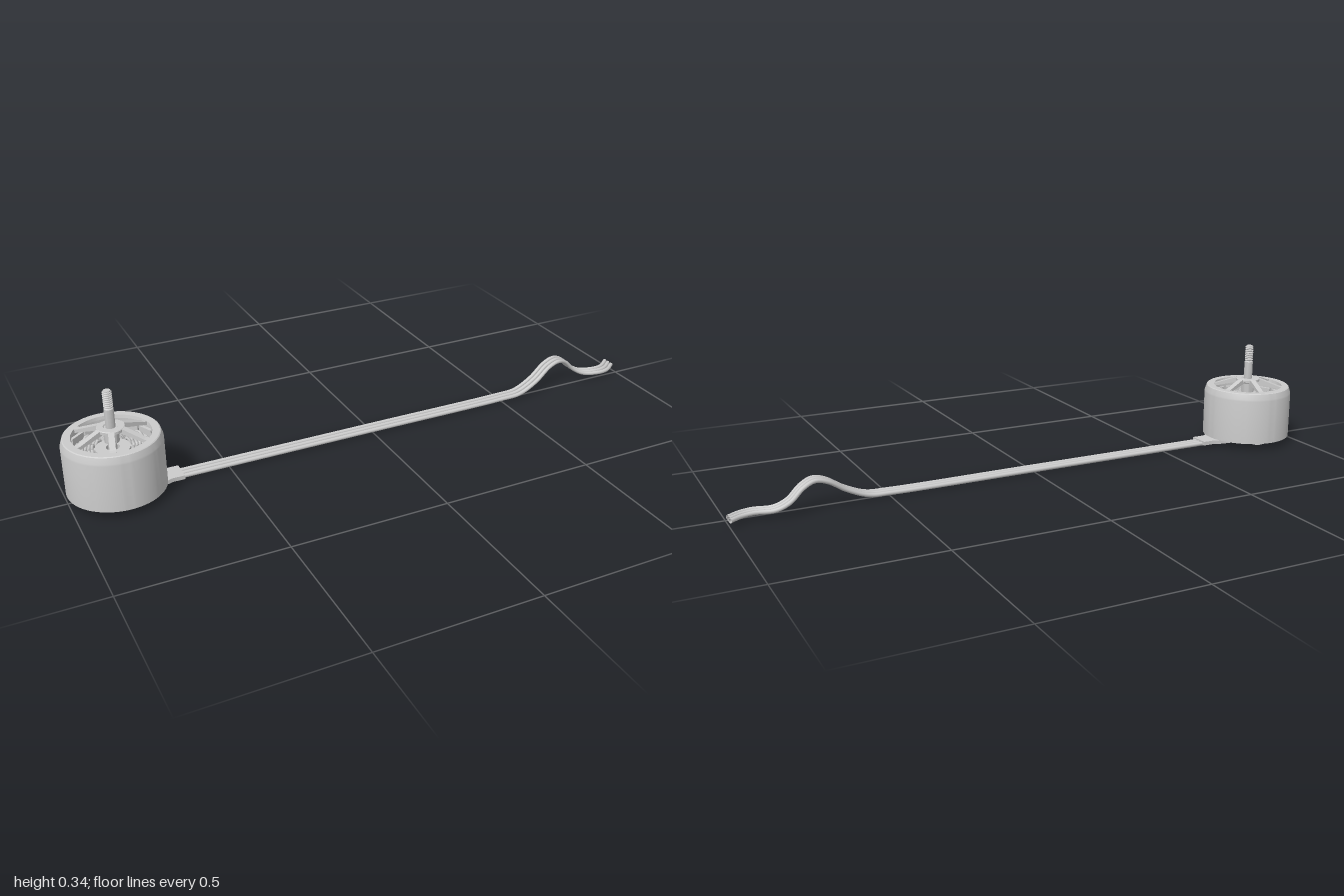
import * as THREE from 'three';
import { toCreasedNormals } from 'three/addons/utils/BufferGeometryUtils.js';

const grey = new THREE.MeshStandardMaterial({ color: 0xcccccc });
const greyDouble = new THREE.MeshStandardMaterial({ color: 0xcccccc, side: THREE.DoubleSide });

function add(parent, name, geometry, material = grey) {
  const mesh = new THREE.Mesh(geometry, material);
  mesh.name = name;
  parent.add(mesh);
  return mesh;
}

// Turned part from [radius, height] pairs, kept sharp at the edges
function turned(points, segments = 64) {
  const g = new THREE.LatheGeometry(points.map(([r, y]) => new THREE.Vector2(r, y)), segments);
  return toCreasedNormals(g, 0.5);
}

// Flat plate drawn in (x, z) and raised from y0 to y1
function plate(shape, y0, y1) {
  const g = new THREE.ExtrudeGeometry(shape, { depth: y1 - y0, bevelEnabled: false, curveSegments: 16 });
  g.rotateX(-Math.PI / 2);
  g.translate(0, y0, 0);
  return toCreasedNormals(g, 0.5);
}

function hole(x, y, r) {
  return new THREE.Path().absarc(x, y, r, 0, Math.PI * 2, true);
}

function radial(parent, name, geometry, count, offset = 0) {
  for (let i = 0; i < count; i++) {
    add(parent, name, geometry).rotation.y = offset + (i * Math.PI * 2) / count;
  }
}

function buildRotor() {
  const rotor = new THREE.Group();
  rotor.name = 'rotor';

  // Outer bell with sloping shoulder and open top
  add(rotor, 'bell', turned([
    [0.137, 0.023], [0.15, 0.023], [0.15, 0.174], [0.149, 0.18], [0.143, 0.198],
    [0.14, 0.2], [0.118, 0.2], [0.116, 0.19], [0.137, 0.182], [0.137, 0.023]], 96));

  // Magnets lining the bell
  const magnet = new THREE.BoxGeometry(0.01, 0.125, 0.05);
  magnet.translate(0.131, 0.1, 0);
  radial(rotor, 'magnet', magnet, 14);

  // Sloping spokes from hub to rim
  const side = new THREE.Shape([[0.025, 0.212], [0.118, 0.188], [0.124, 0.199], [0.108, 0.201], [0.042, 0.224], [0.025, 0.224]]
    .map(([x, y]) => new THREE.Vector2(x, y)));
  const spoke = new THREE.ExtrudeGeometry(side, { depth: 0.018, bevelEnabled: false });
  spoke.translate(0, 0, -0.009);
  radial(rotor, 'spoke', spoke, 6, 0.3);

  add(rotor, 'hub', turned([
    [0, 0.175], [0.022, 0.175], [0.024, 0.208], [0.042, 0.215], [0.042, 0.223],
    [0.04, 0.225], [0.022, 0.225], [0.02, 0.222], [0, 0.222]]));

  // Shaft with ridged upper end
  const profile = [[0, 0.002], [0.013, 0.002], [0.013, 0.2], [0.0145, 0.21], [0.0145, 0.283], [0.0115, 0.286]];
  const ridges = 8, pitch = 0.0065;
  for (let i = 0; i < ridges; i++) {
    const y = 0.287 + i * pitch;
    profile.push([0.0115, y], [0.0142, y + 0.0018], [0.0142, y + 0.0038], [0.0115, y + 0.0055]);
  }
  profile.push([0.011, 0.341], [0, 0.341]);
  add(rotor, 'shaft', turned(profile, 32));
  return rotor;
}

function buildStator() {
  const stator = new THREE.Group();
  stator.name = 'stator';
  add(stator, 'statorCore', turned([
    [0.02, 0.02], [0.052, 0.02], [0.052, 0.155], [0.02, 0.155], [0.02, 0.02]], 48));

  // Teeth with curved pole shoes
  const tooth = new THREE.BoxGeometry(0.07, 0.09, 0.012);
  tooth.translate(0.083, 0.1, 0);
  radial(stator, 'tooth', tooth, 12);
  const a = 0.2;
  const shoe = new THREE.Shape();
  shoe.absarc(0, 0, 0.122, -a, a, false);
  shoe.absarc(0, 0, 0.114, a, -a, true);
  radial(stator, 'poleShoe', plate(shoe, 0.055, 0.145), 12);

  // Wire turns wrapped round each tooth
  for (let turn = 0; turn < 6; turn++) {
    const r = 0.061 + turn * 0.0092;
    const w = 0.0085 + turn * 0.0011;
    const loop = new THREE.CatmullRomCurve3([
      [0.054, w], [0.15, w], [0.158, 0], [0.15, -w], [0.054, -w], [0.046, 0]]
      .map(([y, z]) => new THREE.Vector3(r, y, z)), true);
    radial(stator, 'winding', new THREE.TubeGeometry(loop, 24, 0.005, 6, true), 12);
  }
  return stator;
}

function buildBase() {
  const base = new THREE.Group();
  base.name = 'base';

  // Four-lobed mounting foot with screw holes
  const foot = new THREE.Shape();
  for (let i = 0; i < 4; i++) {
    const t = (i * Math.PI) / 2;
    foot.absarc(0.069 * Math.cos(t), 0.069 * Math.sin(t), 0.022, t - 1.4, t + 1.4, false);
    const m = t + Math.PI / 4;
    foot.lineTo(0.05 * Math.cos(m), 0.05 * Math.sin(m));
    foot.holes.push(hole(0.07 * Math.cos(t), 0.07 * Math.sin(t), 0.01));
  }
  foot.holes.push(hole(0, 0, 0.026));
  add(base, 'mountingFoot', plate(foot, 0, 0.022));

  // Thin ring joining the lobes
  add(base, 'baseRing', turned([
    [0.076, 0.008], [0.09, 0.008], [0.092, 0.011], [0.092, 0.026], [0.076, 0.026], [0.076, 0.008]]));
  add(base, 'bearing', turned([
    [0.012, 0.006], [0.016, 0.004], [0.024, 0.004], [0.026, 0.007], [0.026, 0.03], [0.012, 0.03], [0.012, 0.006]], 48));

  // Flat guard carrying the wires out from under the bell
  const guard = new THREE.Shape([[0.07, -0.05], [0.13, -0.045], [0.16, -0.034], [0.2, -0.034],
    [0.2, 0.034], [0.16, 0.034], [0.13, 0.045], [0.07, 0.05]].map(([x, y]) => new THREE.Vector2(x, y)));
  add(base, 'wireGuard', plate(guard, 0.009, 0.022));
  return base;
}

function buildWires() {
  const wires = new THREE.Group();
  wires.name = 'wires';
  // Straight run, then a hump and a sideways wave
  const path = [
    [-0.72, 0.012, 0], [-0.6, 0.012, 0], [0, 0.012, 0], [0.5, 0.012, 0], [0.57, 0.016, 0],
    [0.64, 0.045, -0.006], [0.7, 0.083, -0.017], [0.74, 0.094, -0.023], [0.78, 0.08, -0.033],
    [0.82, 0.044, -0.036], [0.86, 0.023, -0.025], [0.92, 0.02, -0.01], [0.96, 0.019, -0.018], [0.998, 0.02, -0.045]];
  for (const z of [-0.018, 0, 0.018]) {
    const curve = new THREE.CatmullRomCurve3(path.map(p => new THREE.Vector3(p[0], p[1], p[2] + z)));
    add(wires, 'wire', new THREE.TubeGeometry(curve, 200, 0.0068, 10), greyDouble);
  }
  return wires;
}

export function createModel() {
  const model = new THREE.Group();
  model.name = 'electricMotor';
  const motor = new THREE.Group();
  motor.name = 'motor';
  motor.add(buildRotor(), buildStator(), buildBase());
  motor.position.x = -0.85;
  model.add(motor, buildWires());
  return model;
}
